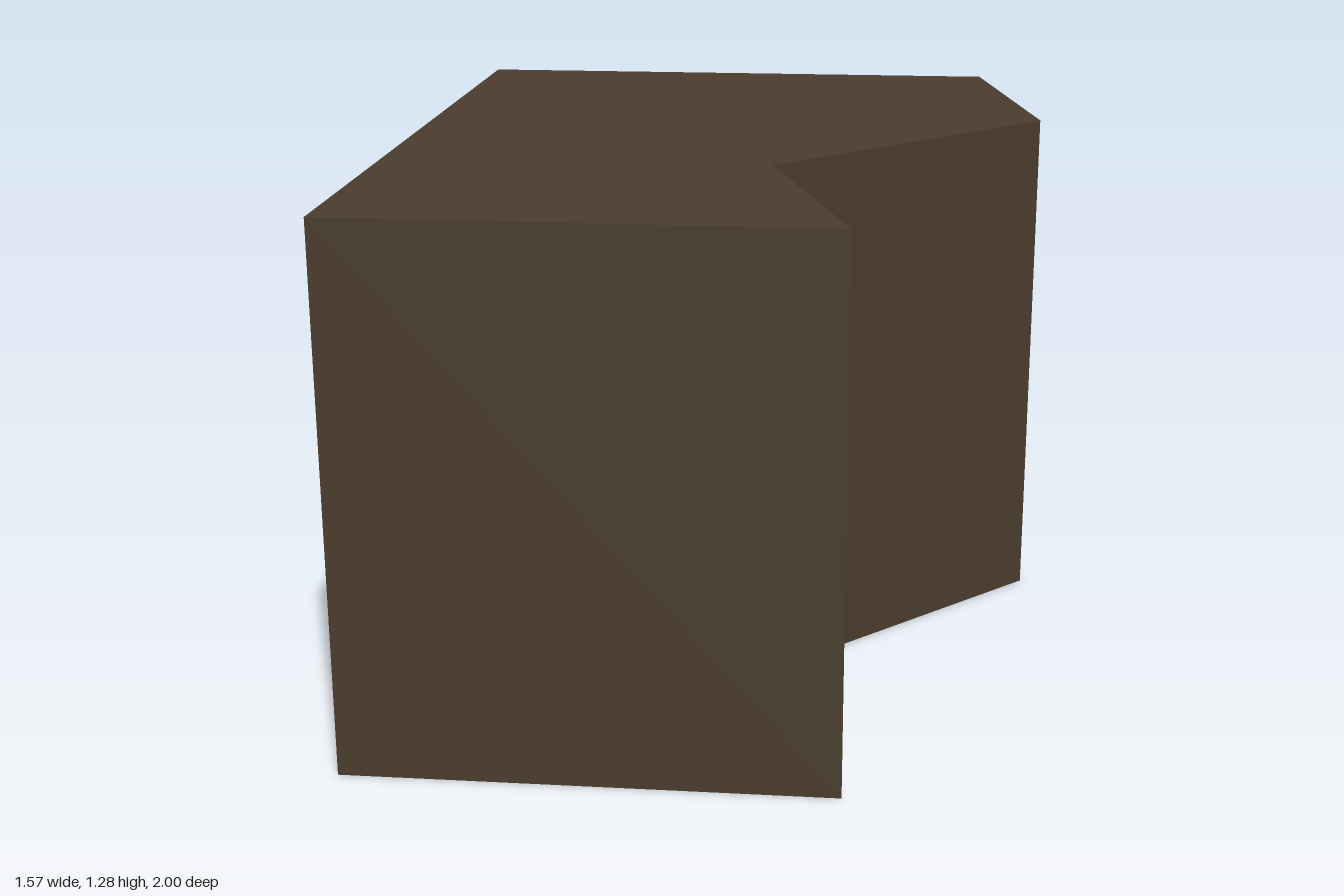
import * as THREE from 'three';

export function createModel() {
  const group = new THREE.Group();
  const darkBrown = new THREE.MeshStandardMaterial({ color: 0x4a3c2e });
  darkBrown.name = 'darkBrown';

  // Footprint as [x, z], with a notch in the left side
  const footprint = [
    [-0.785, 1], [0.35, 1], [0.14, 0.36], [0.785, -0.29], [0.64, -1], [-0.785, -1],
  ];
  const shape = new THREE.Shape(footprint.map(([x, z]) => new THREE.Vector2(x, -z)));

  // Extrude the footprint upwards from the ground
  const geometry = new THREE.ExtrudeGeometry(shape, { depth: 1.285, bevelEnabled: false });
  geometry.rotateX(-Math.PI / 2);

  const block = new THREE.Mesh(geometry, darkBrown);
  block.name = 'notchedBlock';
  group.add(block);
  return group;
}
